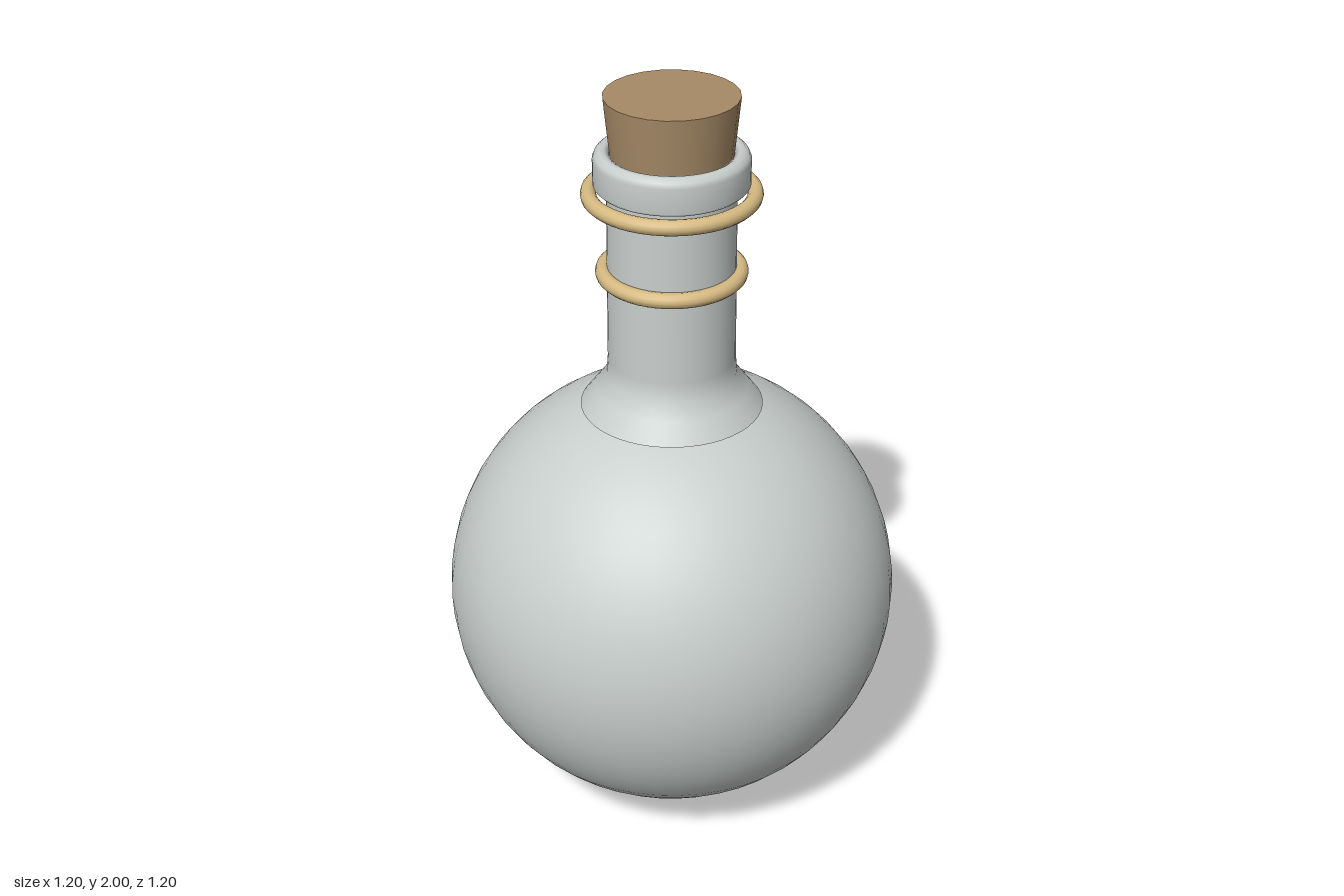
import * as THREE from 'three';

const glass = new THREE.MeshStandardMaterial({ color: 0xc8cecc });
glass.name = 'pale grey glass';
const cork = new THREE.MeshStandardMaterial({ color: 0xa68a67 });
cork.name = 'cork brown';
const cord = new THREE.MeshStandardMaterial({ color: 0xd6ba82 });
cord.name = 'straw cord';

export function createModel() {
  const model = new THREE.Group();
  model.name = 'corkedFlask';

  const add = (name, geometry, material, y = 0) => {
    const mesh = new THREE.Mesh(geometry, material);
    mesh.name = name;
    mesh.position.y = y;
    model.add(mesh);
    return mesh;
  };
  // Repeating a profile point keeps that edge sharp
  const lathe = (points) =>
    new THREE.LatheGeometry(points.map(([r, y]) => new THREE.Vector2(r, y)), 48);

  // Round belly
  add('body', new THREE.SphereGeometry(0.6, 48, 32), glass, 0.603);

  // Neck with flared shoulder
  add('neck', lathe([
    [0.236, 1.16], [0.198, 1.21], [0.168, 1.25], [0.164, 1.3], [0.161, 1.79],
  ]), glass);

  // Rounded lip, open for the stopper
  add('lip', lathe([
    [0.155, 1.768], [0.186, 1.768], [0.186, 1.768], [0.194, 1.776],
    [0.194, 1.84], [0.189, 1.852], [0.178, 1.862], [0.165, 1.862],
    [0.153, 1.855], [0.15, 1.8],
  ]), glass);

  // Tapered stopper
  add('stopper', new THREE.CylinderGeometry(0.167, 0.145, 0.22, 24), cork, 1.89);

  // Cord rings around the neck
  for (const [name, radius, y] of [['upperRing', 0.205, 1.748], ['lowerRing', 0.172, 1.538]]) {
    add(name, new THREE.TorusGeometry(radius, 0.02, 12, 48).rotateX(Math.PI / 2), cord, y);
  }

  return model;
}
